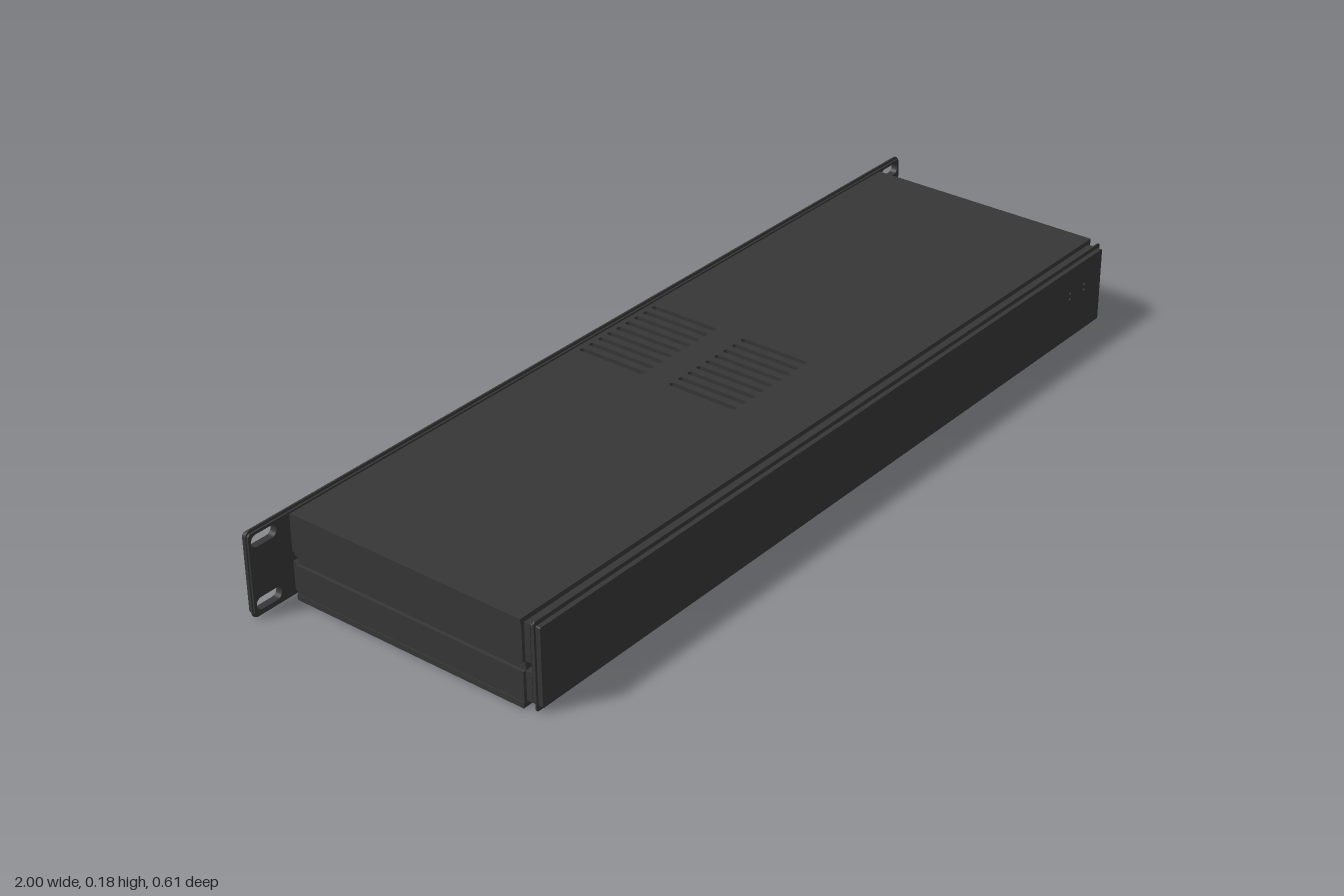
import * as THREE from 'three';

const dark = new THREE.MeshStandardMaterial({ color: 0x363636 });
dark.name = 'blackMetal';
const blue = new THREE.MeshStandardMaterial({ color: 0x3a5a73 });
blue.name = 'blueWindow';

// Rounded rectangle outline, used for both shapes and holes
function roundRect(path, x0, y0, x1, y1, r) {
  path.moveTo(x0 + r, y0);
  path.lineTo(x1 - r, y0);
  path.absarc(x1 - r, y0 + r, r, -Math.PI / 2, 0, false);
  path.lineTo(x1, y1 - r);
  path.absarc(x1 - r, y1 - r, r, 0, Math.PI / 2, false);
  path.lineTo(x0 + r, y1);
  path.absarc(x0 + r, y1 - r, r, Math.PI / 2, Math.PI, false);
  path.lineTo(x0, y0 + r);
  path.absarc(x0 + r, y0 + r, r, Math.PI, Math.PI * 1.5, false);
  return path;
}

function extrude(shape, depth) {
  return new THREE.ExtrudeGeometry(shape, { depth, bevelEnabled: false, curveSegments: 6 });
}

export function createModel() {
  const model = new THREE.Group();
  model.name = 'rackEnclosure';

  function add(name, geometry, material = dark) {
    const mesh = new THREE.Mesh(geometry, material);
    mesh.name = name;
    model.add(mesh);
    return mesh;
  }
  function box(name, x0, x1, y0, y1, z0, z1) {
    const mesh = add(name, new THREE.BoxGeometry(x1 - x0, y1 - y0, z1 - z0));
    mesh.position.set((x0 + x1) / 2, (y0 + y1) / 2, (z0 + z1) / 2);
  }

  // Upright plate with rounded corners, pin holes and optional ear slots
  function plate(name, halfWidth, y0, y1, z0, z1, radius, slots) {
    const shape = roundRect(new THREE.Shape(), -halfWidth, y0, halfWidth, y1, radius);
    for (const x of [0.775, 0.83])
      for (const y of [0.105, 0.118])
        shape.holes.push(roundRect(new THREE.Path(), x - 0.003, y - 0.003, x + 0.003, y + 0.003, 0.001));
    if (slots)
      for (const x of [-0.96, 0.96])
        for (const y of [0.027, 0.158])
          shape.holes.push(roundRect(new THREE.Path(), x - 0.031, y - 0.013, x + 0.031, y + 0.013, 0.0125));
    add(name, extrude(shape, z1 - z0)).position.z = z0;
  }

  // Mounting panel with ears: body plus a thin outer rim
  plate('mountingPanel', 0.997, 0.007, 0.177, -0.303, -0.288, 0.008, true);
  plate('mountingPanelRim', 1, 0, 0.183, -0.295, -0.292, 0.014, true);

  // Opposite cover plate
  plate('coverPlate', 0.895, 0.01, 0.174, 0.281, 0.303, 0.003, false);
  plate('coverPlateRim', 0.9, 0, 0.183, 0.29, 0.293, 0.006, false);

  // Tinted display window
  const glass = roundRect(new THREE.Shape(), 0.167, 0.02, 0.71, 0.158, 0.05);
  add('displayWindow', extrude(glass, 0.003), blue).position.z = -0.3045;

  // Top cover with two banks of vent slots
  const top = new THREE.Shape([
    new THREE.Vector2(-0.905, -0.268), new THREE.Vector2(0.905, -0.268),
    new THREE.Vector2(0.905, 0.275), new THREE.Vector2(-0.905, 0.275),
  ]);
  for (const z of [0.04, -0.185])
    for (let i = 0; i < 9; i++) {
      const x = -0.012 + (i - 4) * 0.028;
      top.holes.push(roundRect(new THREE.Path(), x - 0.006, -z - 0.08, x + 0.006, -z + 0.08, 0.0055));
    }
  add('topCover', extrude(top, 0.01).rotateX(-Math.PI / 2)).position.y = 0.173;

  // Bottom cover
  box('bottomCover', -0.905, 0.905, 0, 0.012, -0.275, 0.268);

  // Ledges at both ends of the covers
  for (const [z0, z1] of [[-0.288, -0.275], [0.268, 0.281]]) {
    box('topLedge', -0.895, 0.895, 0.163, 0.173, z0, z1);
    box('bottomLedge', -0.895, 0.895, 0.012, 0.022, z0, z1);
  }

  // Side walls: two rails and a recessed strip between them
  for (const s of [-1, 1]) {
    const wall = (name, a, b, y0, y1, z0, z1) =>
      box(name, Math.min(s * a, s * b), Math.max(s * a, s * b), y0, y1, z0, z1);
    wall('upperSideWall', 0.885, 0.903, 0.094, 0.173, -0.275, 0.268);
    wall('lowerSideWall', 0.885, 0.903, 0.012, 0.074, -0.275, 0.268);
    wall('sideGroove', 0.88, 0.896, 0.074, 0.094, -0.275, 0.268);
    for (const [z0, z1] of [[-0.288, -0.275], [0.268, 0.281]]) {
      wall('upperSideLip', 0.885, 0.896, 0.094, 0.173, z0, z1);
      wall('lowerSideLip', 0.885, 0.896, 0.012, 0.074, z0, z1);
    }
  }
  return model;
}
